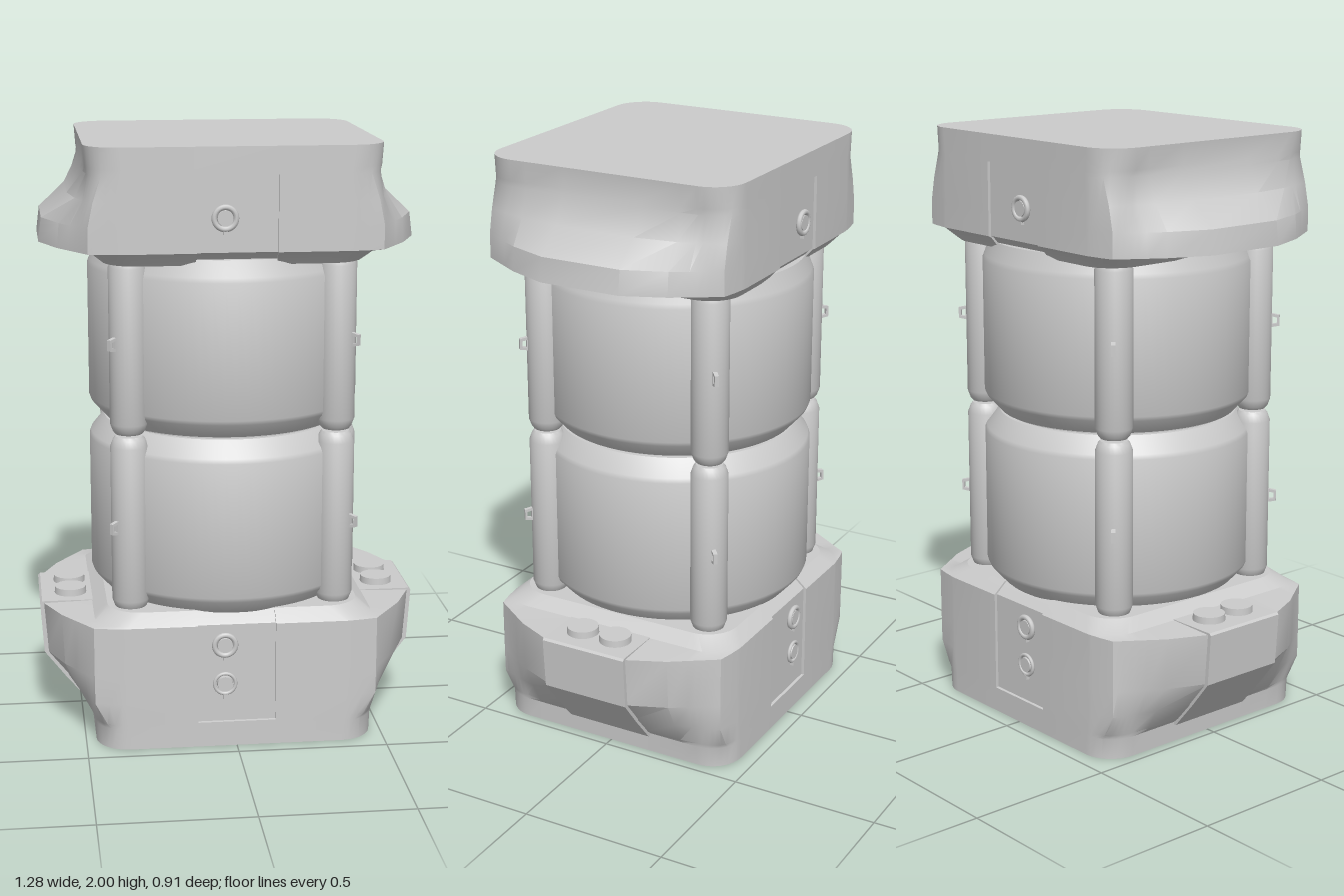
import * as THREE from 'three';
import { toCreasedNormals } from 'three/addons/utils/BufferGeometryUtils.js';

const mat = new THREE.MeshStandardMaterial({ color: 0xcccccc });

function add(parent, name, geo, x = 0, y = 0, z = 0) {
  const m = new THREE.Mesh(geo, mat);
  m.name = name;
  m.position.set(x, y, z);
  parent.add(m);
  return m;
}

// Quarter outline from the side (+x) round to the front (+z):
// a rounded rectangle hx by hz whose side swells out to reach w
function quarter({ hx, hz, w = hx, rec = 0 }) {
  const r = 0.11, t = Math.min(1, (w - hx) / 0.08);
  const table = [[0.155, w], [0.28, w - 0.38 * (w - hx)], [hz - 0.015, hx], [hz, hx - r + 0.01]];
  const swell = z => {
    for (let i = 1; i < table.length; i++) {
      const [z0, x0] = table[i - 1], [z1, x1] = table[i];
      if (z <= z1 + 1e-6) return x0 + (x1 - x0) * (z - z0) / (z1 - z0);
    }
    return hx - r;
  };
  const pts = [[w, 0.14], [table[1][1], Math.min(0.28, hz - r - 0.005)]];
  for (let i = 0; i <= 8; i++) {
    const a = i / 8 * Math.PI / 2;
    const x = hx - r + r * Math.cos(a), z = hz - r + r * Math.sin(a);
    pts.push([x + t * (Math.max(x, swell(z)) - x), z]);
  }
  pts.push([0.13, hz], [0.13, hz - rec]);
  return pts;
}

// Skin a stack of outlines, with flat ends
function loft(levels) {
  const rings = levels.map(l => {
    const q = quarter(l), rev = [...q].reverse();
    return [...q, ...rev.map(([x, z]) => [-x, z]), ...q.map(([x, z]) => [-x, -z]), ...rev.map(([x, z]) => [x, -z])];
  });
  const n = rings[0].length, pos = [], idx = [];
  rings.forEach((ring, k) => ring.forEach(([x, z]) => pos.push(x, levels[k].y, z)));
  for (let k = 0; k < rings.length - 1; k++) for (let i = 0; i < n; i++) {
    const a = k * n + i, b = k * n + (i + 1) % n;
    idx.push(a, a + n, b, b, a + n, b + n);
  }
  const last = rings.length - 1, c = rings.length * n;
  pos.push(0, levels[0].y, 0, 0, levels[last].y, 0);
  for (let i = 0; i < n; i++) {
    const j = (i + 1) % n;
    idx.push(c, i, j, c + 1, last * n + j, last * n + i);
  }
  const g = new THREE.BufferGeometry();
  g.setAttribute('position', new THREE.Float32BufferAttribute(pos, 3));
  g.setIndex(idx);
  return toCreasedNormals(g, 0.5);
}

function lathe(points, seg) {
  const g = new THREE.LatheGeometry(points.map(p => new THREE.Vector2(...p)), seg);
  return toCreasedNormals(g, 0.5);
}

// Round button with a raised rim and a small catch
function fastener(parent, name, y, s, height) {
  const g = new THREE.Group();
  g.name = name;
  g.position.set(-0.04, y, s * 0.437);
  if (s < 0) g.rotation.y = Math.PI;
  add(g, 'rim', new THREE.TorusGeometry(0.035, height, 8, 28), 0, 0, 0.006);
  add(g, 'button', new THREE.CylinderGeometry(0.025, 0.028, 0.024, 24).rotateX(Math.PI / 2));
  add(g, 'catch', new THREE.BoxGeometry(0.014, 0.016, 0.018), 0, -0.044, 0.003);
  parent.add(g);
}

export function createModel() {
  const model = new THREE.Group();
  const hx = 0.47, hz = 0.445, rec = 0.01;

  // Base with swollen sides and a recessed strip front and back
  const base = new THREE.Group();
  base.name = 'base';
  add(base, 'baseShell', loft([
    { y: 0, hx: 0.465, hz },
    { y: 0.07, hx: 0.468, hz },
    { y: 0.085, hx, hz, w: 0.485 },
    { y: 0.086, hx, hz, w: 0.487, rec },
    { y: 0.16, hx, hz, w: 0.55, rec },
    { y: 0.25, hx, hz, w: 0.622, rec },
    { y: 0.425, hx, hz, w: 0.635, rec },
    { y: 0.43, hx: 0.465, hz: 0.44, rec },
    { y: 0.465, hx: 0.42, hz: 0.40, rec },
  ]));

  // Cap, flaring outward at its lower edge
  const cap = new THREE.Group();
  cap.name = 'cap';
  add(cap, 'capShell', loft([
    { y: 1.62, hx: 0.42, hz: 0.40, rec },
    { y: 1.66, hx: 0.465, hz: 0.435, rec },
    { y: 1.665, hx, hz, w: 0.62, rec },
    { y: 1.745, hx, hz, w: 0.61, rec },
    { y: 1.825, hx, hz, w: 0.525, rec },
    { y: 1.909, hx, hz, w: 0.482, rec },
    { y: 1.91, hx, hz, w: 0.482 },
    { y: 1.93, hx: 0.475, hz },
    { y: 2, hx: 0.48, hz },
  ]));

  for (const s of [1, -1]) {
    fastener(base, 'upperBaseFastener', 0.355, s, 0.009);
    fastener(base, 'lowerBaseFastener', 0.22, s, 0.006);
    fastener(cap, 'capFastener', 1.775, s, 0.009);

    // Raised plate down each side of the base
    const profile = new THREE.Shape([[0.46, 0.06], [0.478, 0.062], [0.56, 0.16], [0.63, 0.25],
      [0.642, 0.425], [0.635, 0.432], [0.46, 0.432]].map(p => new THREE.Vector2(...p)));
    const plate = new THREE.ExtrudeGeometry(profile, { depth: 0.31, bevelEnabled: false });
    plate.translate(0, 0, -0.155);
    if (s < 0) plate.rotateY(Math.PI);
    add(base, 'sidePlate', plate);

    // Pair of round knobs on each shoulder
    for (const z of [0.063, -0.063])
      add(base, 'shoulderKnob', new THREE.CylinderGeometry(0.053, 0.055, 0.03, 28), s * 0.535, 0.44, z);
  }
  model.add(base, cap);

  // Core seen in the gap between drums
  add(model, 'core', new THREE.CylinderGeometry(0.39, 0.39, 1.25, 64), 0, 1.04, 0);

  // D-shaped eyelet, lying in the xy plane and reaching out along +x
  const eye = new THREE.Shape([[0, -0.024], [0.03, -0.018], [0.03, 0.018], [0, 0.024]].map(p => new THREE.Vector2(...p)));
  eye.holes.push(new THREE.Path([[0.006, -0.013], [0.006, 0.013], [0.022, 0.01], [0.022, -0.01]].map(p => new THREE.Vector2(...p))));
  const eyelet = new THREE.ExtrudeGeometry(eye, { depth: 0.014, bevelEnabled: false }).translate(0, 0, -0.007);

  // Two drums, each with four corner posts
  const tiers = [
    { name: 'lowerTier', y0: 0.455, y1: 1.048, clip: 0.745, top: 0.405 },
    { name: 'upperTier', y0: 1.056, y1: 1.64, clip: 1.36, top: 0.43 },
  ];
  for (const { name, y0, y1, clip, top } of tiers) {
    const tier = new THREE.Group();
    tier.name = name;
    add(tier, 'drum', lathe([[0, y0], [0.405, y0], [0.45, y0 + 0.05], [0.456, y0 + 0.065],
      [0.456, y1 - 0.07], [0.45, y1 - 0.055], [top, y1], [0, y1]], 72));
    for (const sx of [1, -1]) for (const sz of [1, -1]) {
      const px = sx * 0.342, pz = sz * 0.31;
      add(tier, 'post', lathe([[0, y0], [0.045, y0], [0.053, y0 + 0.01], [0.062, y0 + 0.035],
        [0.062, y1 - 0.035], [0.053, y1 - 0.01], [0.045, y1], [0, y1]], 28), px, 0, pz);
      const angle = Math.atan2(pz, px);
      const e = add(tier, 'eyelet', eyelet, px + 0.058 * Math.cos(angle), clip, pz + 0.058 * Math.sin(angle));
      e.rotation.y = -angle;
    }
    model.add(tier);
  }
  return model;
}
